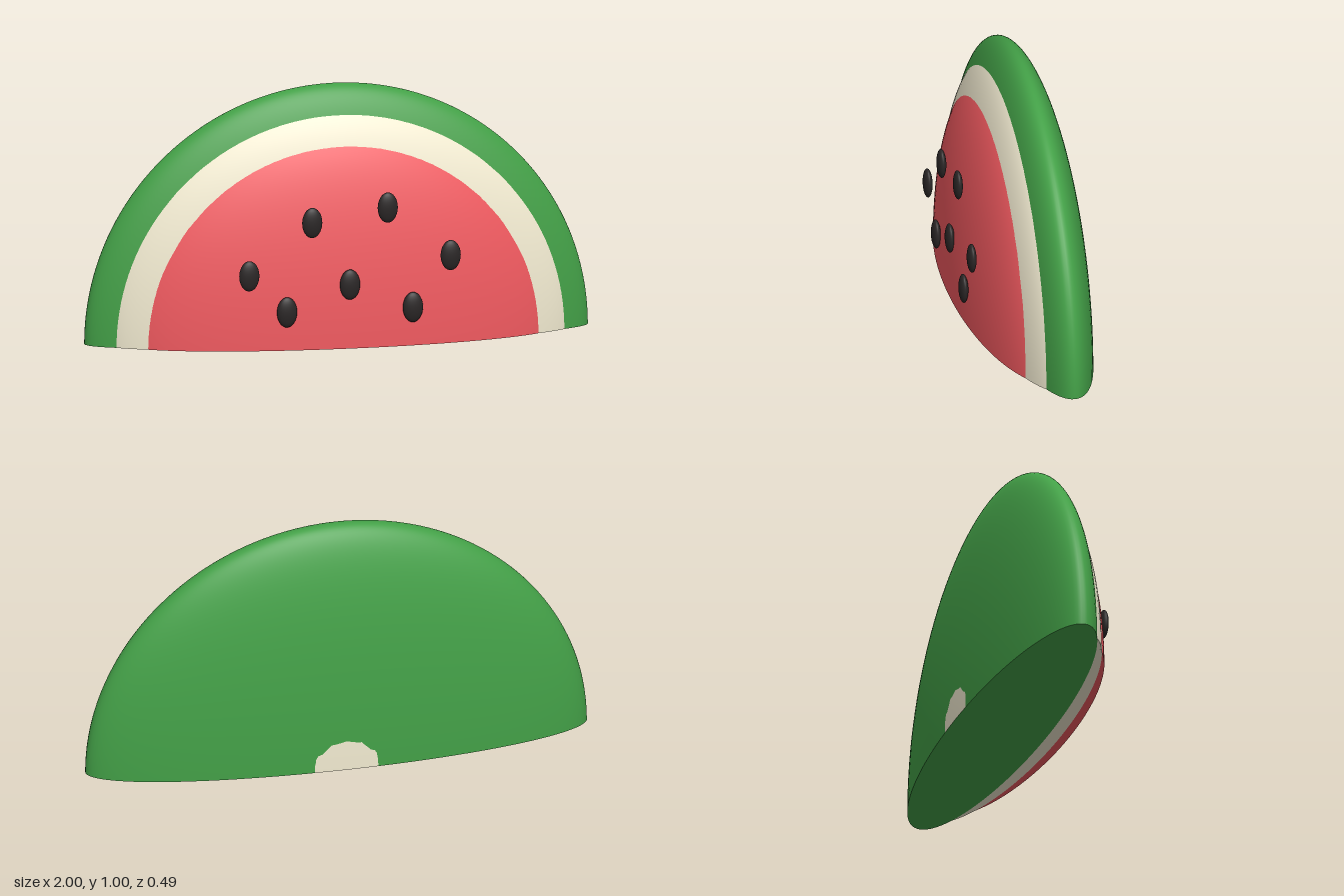
import * as THREE from 'three';
import { mergeGeometries } from 'three/addons/utils/BufferGeometryUtils.js';

// Flattened half ellipsoid with a closed, flat underside
function halfEllipsoid(name, color, radius, depth, z, capLift) {
  const dome = new THREE.SphereGeometry(1, 96, 40, 0, Math.PI * 2, 0, Math.PI / 2);
  const cap = new THREE.CircleGeometry(1, 96).rotateX(Math.PI / 2).translate(0, capLift, 0);
  const geometry = mergeGeometries([dome, cap]).scale(radius, radius, depth);
  const mesh = new THREE.Mesh(geometry, new THREE.MeshStandardMaterial({ color }));
  mesh.name = name;
  mesh.position.z = z;
  return mesh;
}

export function createModel() {
  const slice = new THREE.Group();
  slice.name = 'watermelonSlice';

  // Three nested layers, each shifted further forward; cap lifts keep the undersides apart
  slice.add(
    halfEllipsoid('rind', 0x43a047, 1, 0.195, -0.05, 0),
    halfEllipsoid('innerRind', 0xf1ead0, 0.93, 0.2205, -0.025, 0.001),
    halfEllipsoid('flesh', 0xf0595f, 0.855, 0.23, 0, 0.002)
  );

  // Seeds on the front of the flesh
  const seeds = new THREE.Group();
  seeds.name = 'seeds';
  const seedGeometry = new THREE.SphereGeometry(1, 24, 16).scale(0.04, 0.06, 0.018);
  const seedMaterial = new THREE.MeshStandardMaterial({ color: 0x2a2626 });
  const spots = [
    [-0.4, 0.305], [-0.25, 0.155], [-0.15, 0.507], [0, 0.255],
    [0.15, 0.556], [0.25, 0.155], [0.4, 0.356]
  ];
  spots.forEach(([x, y], i) => {
    const seed = new THREE.Mesh(seedGeometry, seedMaterial);
    seed.name = `seed${i + 1}`;
    seed.position.set(x, y, 0.23);
    seeds.add(seed);
  });
  slice.add(seeds);
  return slice;
}
